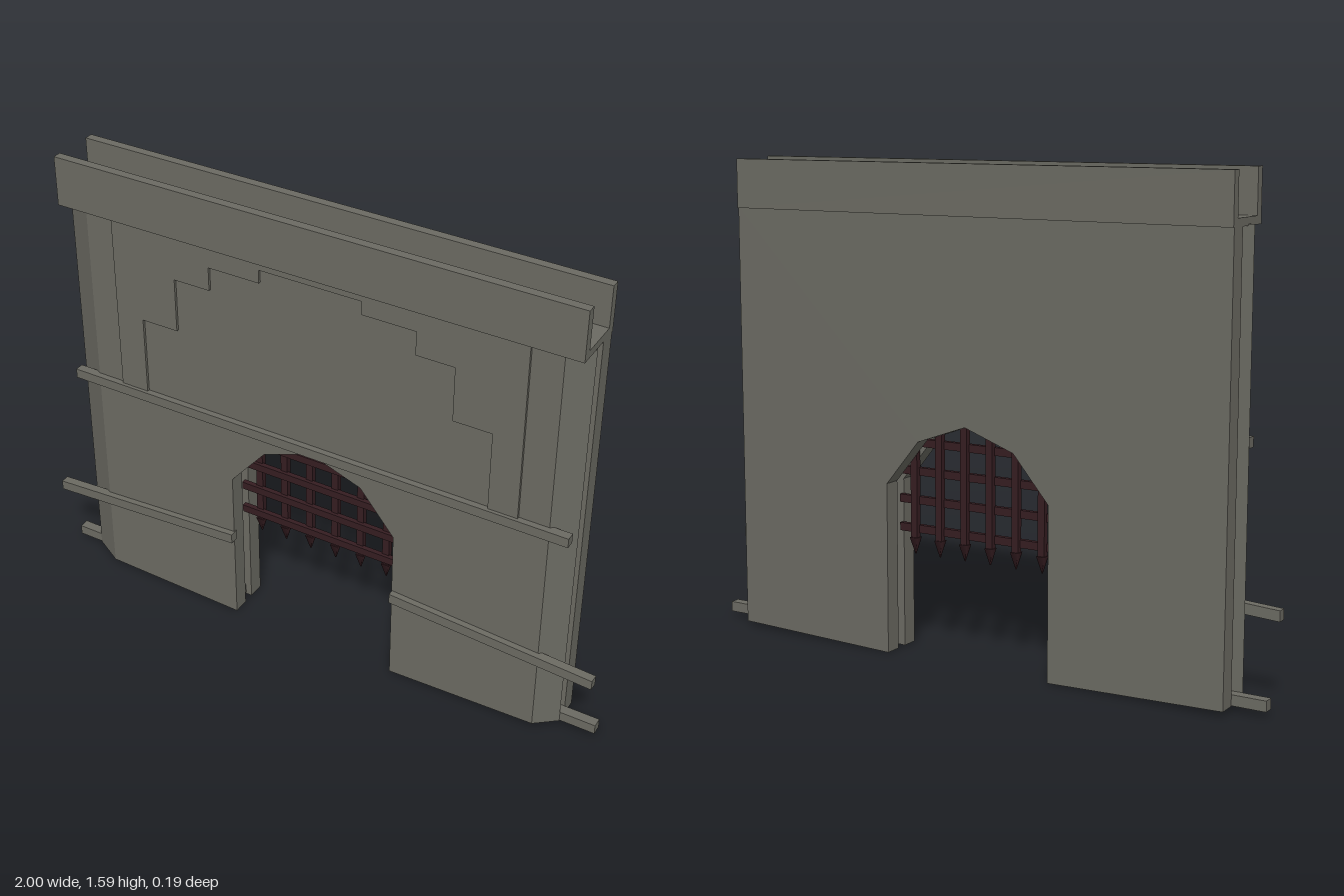
import * as THREE from 'three';

const stone = new THREE.MeshStandardMaterial({ name: 'grey stone', color: 0x6b6a62 });
const iron = new THREE.MeshStandardMaterial({ name: 'dark iron', color: 0x351d21 });

export function createModel() {
  const model = new THREE.Group();
  model.name = 'gatehouse';

  const add = (geometry, material, name, parent = model) => {
    const mesh = new THREE.Mesh(geometry, material);
    mesh.name = name;
    parent.add(mesh);
    return mesh;
  };

  // Box given by its limits
  const box = (x0, x1, y0, y1, z0, z1, material, name, parent) => {
    const mesh = add(new THREE.BoxGeometry(x1 - x0, y1 - y0, z1 - z0), material, name, parent);
    mesh.position.set((x0 + x1) / 2, (y0 + y1) / 2, (z0 + z1) / 2);
    return mesh;
  };

  // Outline in the front plane, extruded from z0 to z1
  const slab = (points, z0, z1) => {
    const shape = new THREE.Shape(points.map(([x, y]) => new THREE.Vector2(x, y)));
    const geometry = new THREE.ExtrudeGeometry(shape, { depth: z1 - z0, bevelEnabled: false });
    return geometry.translate(0, 0, z0);
  };

  // Wall outline with the arched gateway
  const wallOutline = (left, right) => [
    [left, 0.02], [-0.3, 0.004], [-0.3, 0.565], [-0.175, 0.712], [0, 0.775],
    [0.175, 0.712], [0.295, 0.565], [0.295, 0.004], [right, 0.02], [right, 1.43], [left, 1.43],
  ];
  add(slab(wallOutline(-0.89, 0.88), -0.09, -0.032), stone, 'backWall');

  // Front wall, its ends chamfered towards the front
  const frontGeometry = slab(wallOutline(-0.91, 0.88), 0.005, 0.061);
  const p = frontGeometry.attributes.position;
  for (let i = 0; i < p.count; i++) {
    if (p.getZ(i) > 0.05 && Math.abs(p.getX(i)) > 0.85) p.setX(i, Math.sign(p.getX(i)) * 0.81);
  }
  frontGeometry.computeVertexNormals();
  add(frontGeometry, stone, 'frontWall');

  // Raised panel around the stepped recess
  const steps = [[0.612, 0.8], [0.612, 1.08], [0.483, 1.08], [0.483, 1.265],
    [0.355, 1.265], [0.355, 1.345], [0.175, 1.345], [0.175, 1.39]];
  const panel = [
    [-0.71, 0.8],
    ...steps.map(([x, y]) => [-x, y]),
    ...steps.slice().reverse(),
    [0.71, 0.8], [0.71, 1.43], [-0.71, 1.43],
  ];
  add(slab(panel, 0.058, 0.07), stone, 'steppedPanel');

  // Walkway channel on top
  const walkway = new THREE.Group();
  walkway.name = 'walkway';
  model.add(walkway);
  box(-0.89, 0.88, 1.425, 1.45, -0.066, 0.066, stone, 'walkwayFloor', walkway);
  box(-0.89, 0.88, 1.425, 1.59, 0.066, 0.095, stone, 'frontParapet', walkway);
  box(-0.89, 0.88, 1.425, 1.585, -0.095, -0.066, stone, 'backParapet', walkway);

  // String course above the arch
  box(-0.89, 0.88, 0.777, 0.81, 0.052, 0.082, stone, 'stringCourse');

  // Sloping rails on each side of the gateway
  for (const s of [-1, 1]) {
    const side = s > 0 ? 'left' : 'right';
    add(slab([[s * 0.297, 0.315], [s, 0.273], [s, 0.307], [s * 0.297, 0.35]], 0.052, 0.082),
      stone, side + 'SlopingRail');
    add(slab([[s * 0.32, 0.012], [s * 0.9, 0.022], [s, 0.022], [s, 0.056], [s * 0.9, 0.056], [s * 0.32, 0.046]],
      -0.03, 0.004), stone, side + 'BaseRail');
  }

  // Portcullis
  const portcullis = new THREE.Group();
  portcullis.name = 'portcullis';
  model.add(portcullis);
  for (let i = 0; i < 6; i++) {
    const x = -0.003 + (i - 2.5) * 0.0945;
    box(x - 0.012, x + 0.012, 0.38, 1.13, -0.028, -0.008, iron, 'uprightBar', portcullis);
    const spike = new THREE.CylinderGeometry(0.02, 0.002, 0.055, 4).rotateY(Math.PI / 4);
    add(spike, iron, 'spike', portcullis).position.set(x, 0.356, -0.018);
  }
  for (let i = 0; i < 8; i++) {
    const y = 0.41 + i * 0.0945;
    box(-0.3, 0.297, y - 0.013, y + 0.013, -0.014, 0.003, iron, 'crossBar', portcullis);
  }

  return model;
}
